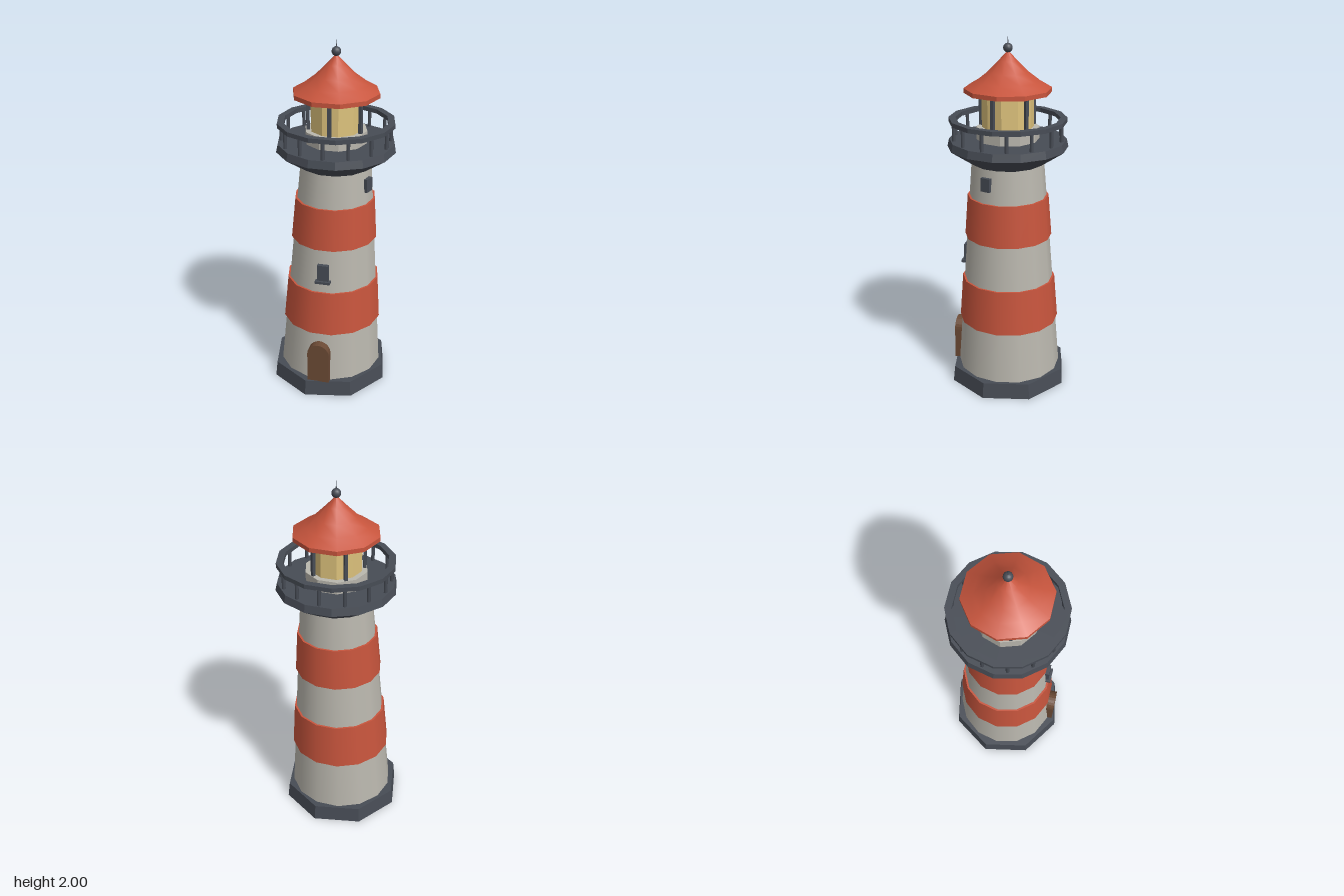
import * as THREE from 'three';

const mat = (name, color) => Object.assign(new THREE.MeshStandardMaterial({ color }), { name });

export function createModel() {
  const stone = mat('pale stone', 0xbab7ae);
  const red = mat('brick red', 0xc8553d);
  const slate = mat('dark slate', 0x474c55);
  const glass = mat('warm glass', 0xddc27c);
  const wood = mat('door brown', 0x6b4a35);

  const model = new THREE.Group();
  model.name = 'lighthouse';
  const add = (name, geo, material, x = 0, y = 0, z = 0, parent = model) => {
    const mesh = new THREE.Mesh(geo, material);
    mesh.name = name;
    mesh.position.set(x, y, z);
    parent.add(mesh);
    return mesh;
  };
  const flat = (geo) => {
    const g = geo.toNonIndexed();
    g.computeVertexNormals();
    return g;
  };
  // upright frustum from y0 to y1 with a corner on the x axis
  const frustum = (r0, r1, y0, y1, sides, start = Math.PI / 2, open = false) =>
    new THREE.CylinderGeometry(r1, r0, y1 - y0, sides, 1, open, start).translate(0, (y0 + y1) / 2, 0);
  const lathe = (pts, sides) =>
    new THREE.LatheGeometry(pts.map(([r, y]) => new THREE.Vector2(r, y)), sides, Math.PI / 2);

  // the tower leans very slightly towards +x
  const axisX = (y) => -0.014 + 0.024 * y;
  const radius = (y) => 0.2925 - 0.077 * (y - 0.09);
  const lean = (geo) => {
    const p = geo.attributes.position;
    for (let i = 0; i < p.count; i++) p.setX(i, p.getX(i) + axisX(p.getY(i)));
    return geo;
  };

  // plinth
  add('plinth', flat(frustum(0.343, 0.333, 0, 0.09, 8, -0.197)), slate, -0.015);

  // tower and painted bands
  add('tower', lean(frustum(radius(0.08), radius(1.33), 0.08, 1.33, 14)), stone, 0, 0, -0.003);
  for (const [y0, y1] of [[0.385, 0.64], [0.895, 1.13]]) {
    add('redBand', lean(frustum(radius(y0) + 0.011, radius(y1) + 0.011, y0, y1, 14)), red, 0, 0, -0.003);
  }

  // arched door
  const arch = new THREE.Shape();
  arch.moveTo(-0.0625, 0);
  arch.lineTo(0.0625, 0);
  arch.absarc(0, 0.18, 0.0625, 0, Math.PI, false);
  arch.closePath();
  const doorGeo = new THREE.ExtrudeGeometry(arch, { depth: 0.08, bevelEnabled: false, curveSegments: 6 });
  add('door', doorGeo, wood, -0.01, 0.088, 0.231);

  // windows, turned by an angle from the front
  const addWindow = (name, y, angle, width, height, sill) => {
    const g = new THREE.Group();
    g.name = name;
    g.position.set(axisX(y), y, -0.003);
    g.rotation.y = angle;
    const r = radius(y);
    add('pane', new THREE.BoxGeometry(width, height, 0.04), slate, 0, 0, r - 0.006, g);
    if (sill) add('sill', new THREE.BoxGeometry(0.085, 0.014, 0.055), slate, 0, -height / 2 - 0.006, r, g);
    model.add(g);
  };
  addWindow('lowerWindow', 0.763, 0, 0.062, 0.094, true);
  addWindow('upperWindow', 1.238, 1.22, 0.055, 0.075, false);

  // everything above the tower shares one axis
  const top = new THREE.Group();
  top.name = 'lanternHouse';
  top.position.set(0.0175, 0, -0.003);
  model.add(top);
  const put = (name, geo, material, x = 0, y = 0, z = 0) => add(name, geo, material, x, y, z, top);

  // gallery
  put('corbel', frustum(0.192, 0.327, 1.315, 1.405, 14), slate);
  put('galleryDeck', flat(frustum(0.327, 0.318, 1.405, 1.447, 14)), slate);

  // railing
  const rail = lathe([[0.282, 1.54], [0.319, 1.54], [0.319, 1.564], [0.282, 1.564], [0.282, 1.54]], 14);
  put('handRail', flat(rail), slate);
  for (let i = 0; i < 14; i++) {
    const a = ((i + 0.5) / 14) * Math.PI * 2;
    const post = new THREE.CylinderGeometry(0.01, 0.01, 0.11, 6);
    put('baluster', post, slate, 0.294 * Math.cos(a), 1.493, 0.294 * Math.sin(a));
  }

  // lantern room
  put('lanternWall', flat(frustum(0.17, 0.17, 1.44, 1.515, 10)), stone);
  put('lanternGlass', flat(frustum(0.14, 0.14, 1.515, 1.71, 10)), glass);
  for (let i = 0; i < 5; i++) {
    const a = (i / 5) * Math.PI * 2;
    const post = new THREE.BoxGeometry(0.018, 0.2, 0.018);
    put('lanternPost', post, slate, 0.15 * Math.sin(a), 1.61, 0.15 * Math.cos(a)).rotation.y = a;
  }

  // roof and finial
  put('eave', flat(frustum(0.235, 0.235, 1.7, 1.724, 10)), red);
  put('roof', lathe([[0.235, 1.724], [0.17, 1.762], [0.11, 1.808], [0.05, 1.868], [0.006, 1.915]], 10), red);
  put('finialBall', new THREE.SphereGeometry(0.025, 14, 10), slate, 0, 1.934, 0);
  put('finialSpike', new THREE.ConeGeometry(0.008, 0.1, 6), slate, 0, 1.95, 0);

  return model;
}
